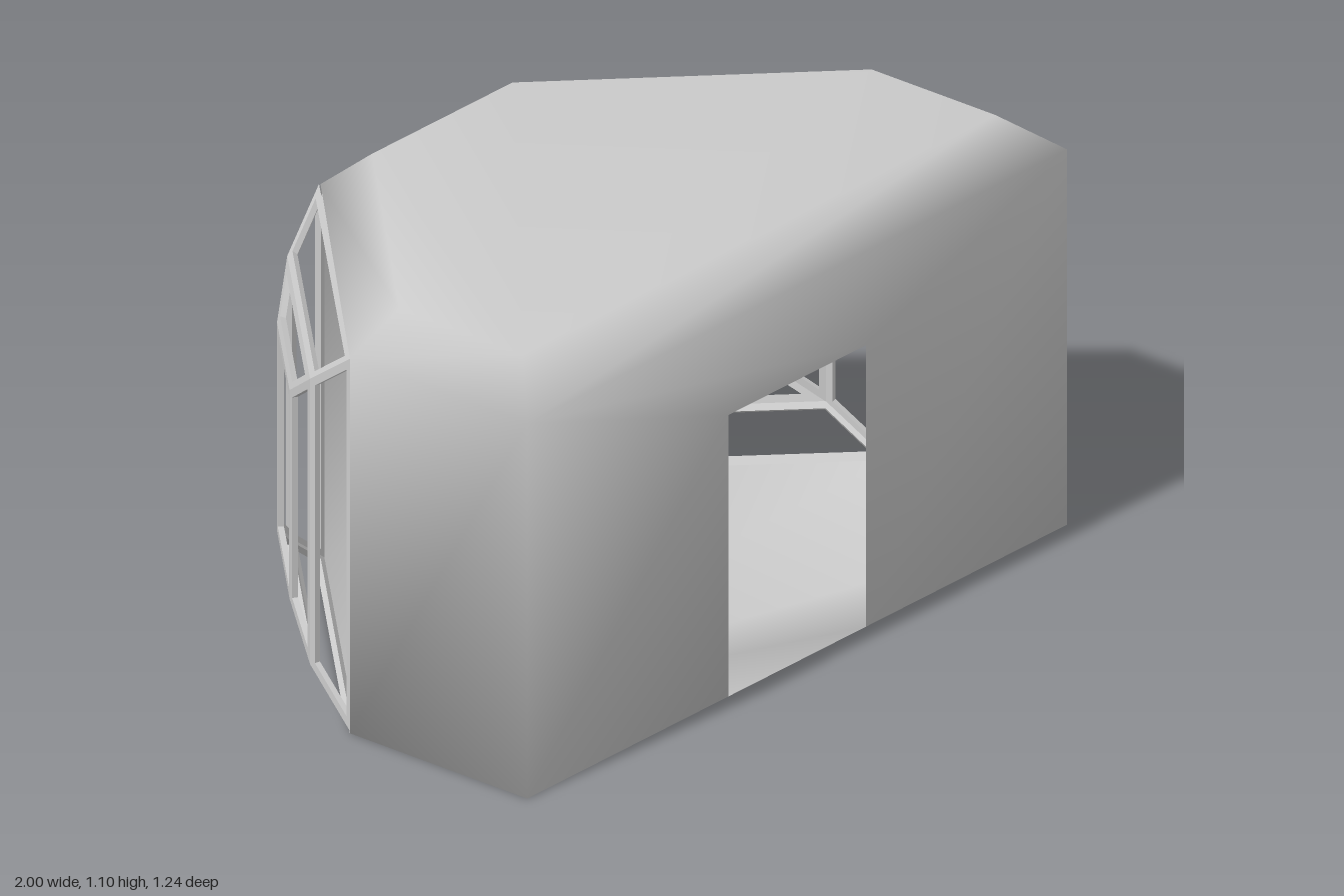
import * as THREE from 'three';
import { mergeVertices } from 'three/addons/utils/BufferGeometryUtils.js';

const material = new THREE.MeshStandardMaterial({ color: 0xcccccc, side: THREE.DoubleSide });
const V = (x, y, z) => new THREE.Vector3(x, y, z);

// Collect convex polygons (corners counter-clockwise from outside) into one geometry
function fromPolygons(polygons, smooth) {
  const points = [];
  for (const p of polygons)
    for (let i = 1; i < p.length - 1; i++) points.push(p[0], p[i], p[i + 1]);
  let geometry = new THREE.BufferGeometry().setFromPoints(points);
  if (smooth) geometry = mergeVertices(geometry);
  geometry.computeVertexNormals();
  return geometry;
}

function addMesh(group, name, geometry) {
  const mesh = new THREE.Mesh(geometry, material);
  mesh.name = name;
  group.add(mesh);
}

// Room shell: floor, walls with a doorway, open diagonals, chamfered roof
function shellGeometry() {
  const plan = [[-1, 0.62], [1, 0.62], [1, 0.06], [0.31, -0.62], [-0.31, -0.62], [-1, 0.06]];
  const inset = [[-0.875, 0.5], [0.875, 0.5], [0.875, 0.11], [0.26, -0.5], [-0.26, -0.5], [-0.875, 0.11]];
  const loop = (outline, y) => outline.map(([x, z]) => V(x, y, z));
  const base = loop(plan, 0), eave = loop(plan, 1), roof = loop(inset, 1.1);
  const polygons = [roof];
  for (let i = 0; i < 6; i++) {
    const j = (i + 1) % 6;
    polygons.push([eave[i], eave[j], roof[j], roof[i]]);
    // plain walls only: the front has a door, the diagonals hold the bays
    if (i % 2 && i !== 0) polygons.push([base[i], base[j], eave[j], eave[i]]);
  }
  // front wall around the doorway
  const w = 0.255, h = 0.75, z = 0.62;
  const doorBL = V(-w, 0, z), doorBR = V(w, 0, z), doorTL = V(-w, h, z), doorTR = V(w, h, z);
  polygons.push(
    [base[0], doorBL, doorTL, eave[0]],
    [doorBR, base[1], eave[1], doorTR],
    [eave[0], doorTL, doorTR, eave[1]],
    [base[0], doorBL, doorBR, ...base.slice(1)].reverse()
  );
  return fromPolygons(polygons, true);
}

// One bay facet as an open frame: rim, hole sides and inner face
function framePolygons(corners, width, depth) {
  const n = corners.length;
  const normal = corners[1].clone().sub(corners[0]).cross(corners[3].clone().sub(corners[0])).normalize();
  const hole = corners.map((p, i) => {
    const a = corners[(i + 1) % n].clone().sub(p).normalize();
    const b = corners[(i + n - 1) % n].clone().sub(p).normalize();
    const sin = a.clone().cross(b).length();
    return p.clone().addScaledVector(a.add(b), width / sin);
  });
  const back = (p) => p.clone().addScaledVector(normal, -depth);
  const polygons = [];
  for (let i = 0; i < n; i++) {
    const j = (i + 1) % n;
    polygons.push(
      [corners[i], corners[j], hole[j], hole[i]],
      [hole[i], hole[j], back(hole[j]), back(hole[i])],
      [back(corners[j]), back(corners[i]), back(hole[i]), back(hole[j])]
    );
  }
  return polygons;
}

// Bulging bay window: three shrinking rings joined by framed facets
function bayGeometry() {
  const ring = (s, y, d) => [V(-s, y, d), V(s, y, d), V(s, 1 - y, d), V(-s, 1 - y, d)];
  const rings = [ring(0.486, 0, 0), ring(0.343, 0.12, 0.088), ring(0.189, 0.222, 0.125)];
  const polygons = framePolygons(rings[2], 0.022, 0.015);
  for (let r = 0; r < 2; r++)
    for (let i = 0; i < 4; i++) {
      const j = (i + 1) % 4;
      polygons.push(...framePolygons(
        [rings[r][i], rings[r][j], rings[r + 1][j], rings[r + 1][i]], 0.02, 0.015));
    }
  return fromPolygons(polygons, false);
}

export function createModel() {
  const model = new THREE.Group();
  model.name = 'cabin';
  addMesh(model, 'roomShell', shellGeometry());
  const bay = bayGeometry();
  for (const side of [1, -1]) {
    const group = new THREE.Group();
    group.name = side > 0 ? 'leftBayWindow' : 'rightBayWindow';
    addMesh(group, 'windowFrame', bay);
    group.position.set(side * 0.655, 0, -0.28);
    group.rotation.y = side * Math.PI * 0.75;
    model.add(group);
  }
  return model;
}
